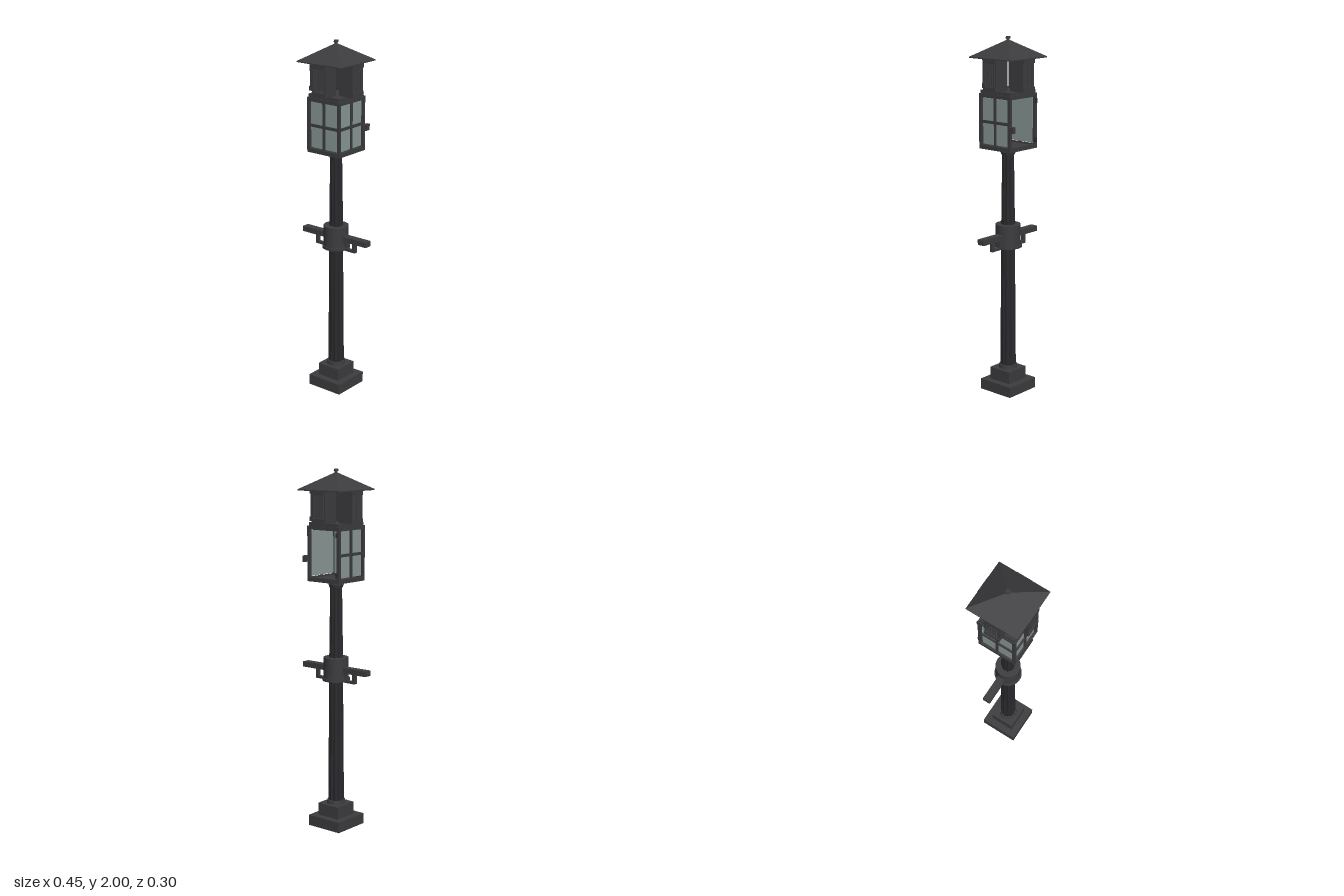
import * as THREE from 'three';
import { toCreasedNormals } from 'three/addons/utils/BufferGeometryUtils.js';

const iron = new THREE.MeshStandardMaterial({ color: 0x3c3c3f, flatShading: true });
const smoothIron = new THREE.MeshStandardMaterial({ color: 0x3c3c3f });
const darkIron = new THREE.MeshStandardMaterial({ color: 0x29292d });
const glass = new THREE.MeshStandardMaterial({ color: 0x899795 });

function add(parent, name, geometry, material, x = 0, y = 0, z = 0) {
  const mesh = new THREE.Mesh(geometry, material);
  mesh.name = name;
  mesh.position.set(x, y, z);
  parent.add(mesh);
  return mesh;
}

// Box given by its centre, with y as bottom and top
function box(parent, name, w, d, y0, y1, x = 0, z = 0, material = iron) {
  return add(parent, name, new THREE.BoxGeometry(w, y1 - y0, d), material, x, (y0 + y1) / 2, z);
}

function drum(parent, name, r0, r1, y0, y1, x = 0, z = 0) {
  const g = toCreasedNormals(new THREE.CylinderGeometry(r1, r0, y1 - y0, 32), 0.6);
  return add(parent, name, g, smoothIron, x, (y0 + y1) / 2, z);
}

// Tapered column with rounded grooves pressed into its side
function flutedShaft(parent, name, r0, r1, y0, y1) {
  const flutes = 12;
  const g = new THREE.CylinderGeometry(r1, r0, y1 - y0, flutes * 6, 1);
  const p = g.attributes.position;
  for (let i = 0; i < p.count; i++) {
    const a = Math.atan2(p.getZ(i), p.getX(i));
    const s = 1 - 0.13 * Math.pow(Math.abs(Math.sin(a * flutes / 2)), 0.8);
    p.setX(i, p.getX(i) * s);
    p.setZ(i, p.getZ(i) * s);
  }
  add(parent, name, toCreasedNormals(g, 0.6), darkIron, 0, (y0 + y1) / 2, 0);
}

// Group of four children, one turned to each side
function fourSides(parent, name, build) {
  for (let i = 0; i < 4; i++) {
    const side = new THREE.Group();
    side.name = name;
    side.rotation.y = i * Math.PI / 2;
    build(side, i);
    parent.add(side);
  }
}

export function createModel() {
  const model = new THREE.Group();
  model.name = 'lampPost';

  // Stepped foot
  box(model, 'basePlinth', 0.22, 0.22, 0, 0.06);
  box(model, 'upperPlinth', 0.142, 0.142, 0.06, 0.13);
  drum(model, 'baseRing', 0.052, 0.05, 0.13, 0.15);

  // Column
  flutedShaft(model, 'lowerShaft', 0.045, 0.039, 0.15, 0.86);
  flutedShaft(model, 'upperShaft', 0.039, 0.033, 0.96, 1.37);
  drum(model, 'collarFlange', 0.077, 0.077, 0.84, 0.855);
  drum(model, 'collar', 0.07, 0.07, 0.855, 0.97);
  drum(model, 'capitalNeck', 0.036, 0.042, 1.36, 1.375);
  drum(model, 'capital', 0.042, 0.042, 1.375, 1.4);

  // Ladder rests with hanging brackets
  for (const s of [-1, 1]) {
    box(model, 'ladderArm', 0.165, 0.044, 0.89, 0.92, s * 0.141);
    box(model, 'bracketPost', 0.018, 0.02, 0.835, 0.89, s * 0.13);
    box(model, 'bracketBar', 0.08, 0.02, 0.835, 0.849, s * 0.099);
    box(model, 'bracketInnerPost', 0.012, 0.02, 0.849, 0.89, s * 0.074);
  }

  // Lantern cage
  const lantern = new THREE.Group();
  lantern.name = 'lantern';
  model.add(lantern);
  box(lantern, 'lanternFloor', 0.222, 0.222, 1.395, 1.41);
  box(lantern, 'lanternCeiling', 0.222, 0.222, 1.69, 1.697);
  box(lantern, 'lanternTop', 0.21, 0.21, 1.697, 1.715);
  fourSides(lantern, 'lanternSide', (side, i) => {
    box(side, 'cornerPost', 0.016, 0.016, 1.41, 1.69, 0.103, 0.103);
    box(side, 'topRail', 0.19, 0.012, 1.677, 1.69, 0, 0.105);
    box(side, 'bottomRail', 0.19, 0.012, 1.41, 1.418, 0, 0.105);
    // The rear opening is left unglazed
    if (i === 2) return;
    box(side, 'pane', 0.182, 0.004, 1.423, 1.673, 0, 0.098, glass);
    box(side, 'verticalBar', 0.014, 0.008, 1.418, 1.677, 0, 0.104);
    box(side, 'crossBar', 0.19, 0.008, 1.538, 1.553, 0, 0.104);
  });

  // Rear door fittings
  for (const y of [1.44, 1.655]) {
    const hinge = drum(lantern, 'hinge', 0.007, 0.007, y - 0.012, y + 0.012, -0.1, -0.114);
    hinge.material = darkIron;
  }
  box(lantern, 'latch', 0.02, 0.032, 1.503, 1.537, 0.11, -0.125);

  // Vent housing: four separate louvred boxes under the roof
  fourSides(model, 'vent', side => {
    for (const s of [-1, 1]) box(side, 'ventCheek', 0.008, 0.09, 1.715, 1.89, s * 0.041, 0.1);
    box(side, 'ventBack', 0.09, 0.006, 1.715, 1.89, 0, 0.058);
    for (const y of [1.715, 1.865]) box(side, 'ventRail', 0.09, 0.095, y, y + 0.025, 0, 0.1025);
    for (let k = -2; k <= 2; k++) {
      box(side, 'louvre', 0.004, 0.022, 1.735, 1.87, k * 0.0145, 0.137).rotation.y = 0.5;
    }
  });

  // Pyramid roof and finial
  box(model, 'eave', 0.296, 0.296, 1.886, 1.892);
  const roof = new THREE.ConeGeometry(0.148 * Math.SQRT2, 0.092, 4).rotateY(Math.PI / 4);
  add(model, 'roof', roof, iron, 0, 1.938, 0);
  drum(model, 'finialStem', 0.008, 0.008, 1.97, 1.988);
  drum(model, 'finialCap', 0.013, 0.012, 1.988, 2.0);

  return model;
}
